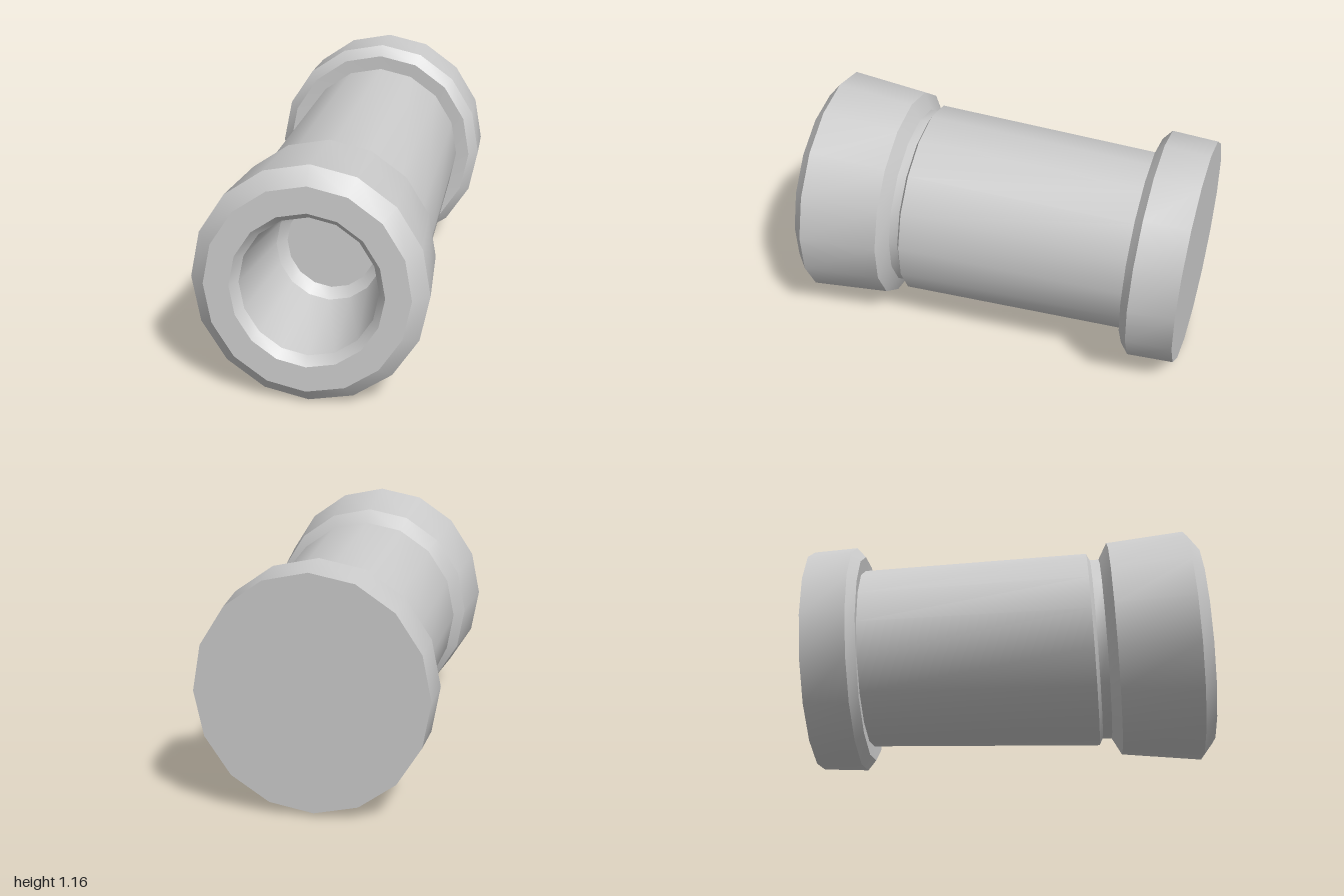
import * as THREE from 'three';
import { toCreasedNormals } from 'three/addons/utils/BufferGeometryUtils.js';

const CENTER_Y = 0.584;
const WIDTH = 0.942; // the cross-section is slightly narrower than tall

// Turns a [radius, z] profile around z, then leans the rings and drifts the axis sideways.
function turnedPart(name, profile, sides = 16, drop = 0) {
  const points = profile.map(([r, z]) => new THREE.Vector2(r, z));
  const geometry = new THREE.LatheGeometry(points, sides);
  geometry.rotateX(Math.PI / 2);
  const pos = geometry.attributes.position;
  for (let i = 0; i < pos.count; i++) {
    const x = pos.getX(i), y = pos.getY(i), z = pos.getZ(i);
    const lean = 0.044 + 0.01 * z;
    const sink = drop * THREE.MathUtils.clamp((0.93 - z) / 0.43, 0, 1);
    pos.setXYZ(i, x * WIDTH - 0.033 * z + 0.007 * y, CENTER_Y + y - sink, z - lean * y);
  }
  const mesh = new THREE.Mesh(
    toCreasedNormals(geometry, 0.45),
    new THREE.MeshStandardMaterial({ color: 0xcccccc })
  );
  mesh.name = name;
  return mesh;
}

export function createModel() {
  const group = new THREE.Group();
  group.name = 'flangedTube';

  // Closed rear collar with a bevelled front edge
  group.add(turnedPart('rearCollar', [
    [0, -0.98], [0.565, -0.98], [0.577, -0.757], [0.528, -0.715], [0.455, -0.72],
  ]));

  // Tapered barrel ending in a shallow groove
  group.add(turnedPart('barrel', [
    [0.455, -0.72], [0.49, 0.418], [0.457, 0.435], [0.457, 0.48],
  ]));

  // Flared front collar with a bevelled rim and flat mouth
  group.add(turnedPart('frontCollar', [
    [0.457, 0.48], [0.54, 0.525], [0.58, 0.913], [0.503, 0.9725], [0.377, 0.9725],
  ]));

  // Tapered bore with bevelled entry and bottom step
  group.add(turnedPart('bore', [
    [0.377, 0.9725], [0.34, 0.93], [0.275, 0.5], [0.225, 0.45],
  ], 16, 0.013));

  // Round floor at the bottom of the bore
  group.add(turnedPart('boreFloor', [[0.232, 0.455], [0, 0.455]], 32, 0.013));

  return group;
}
